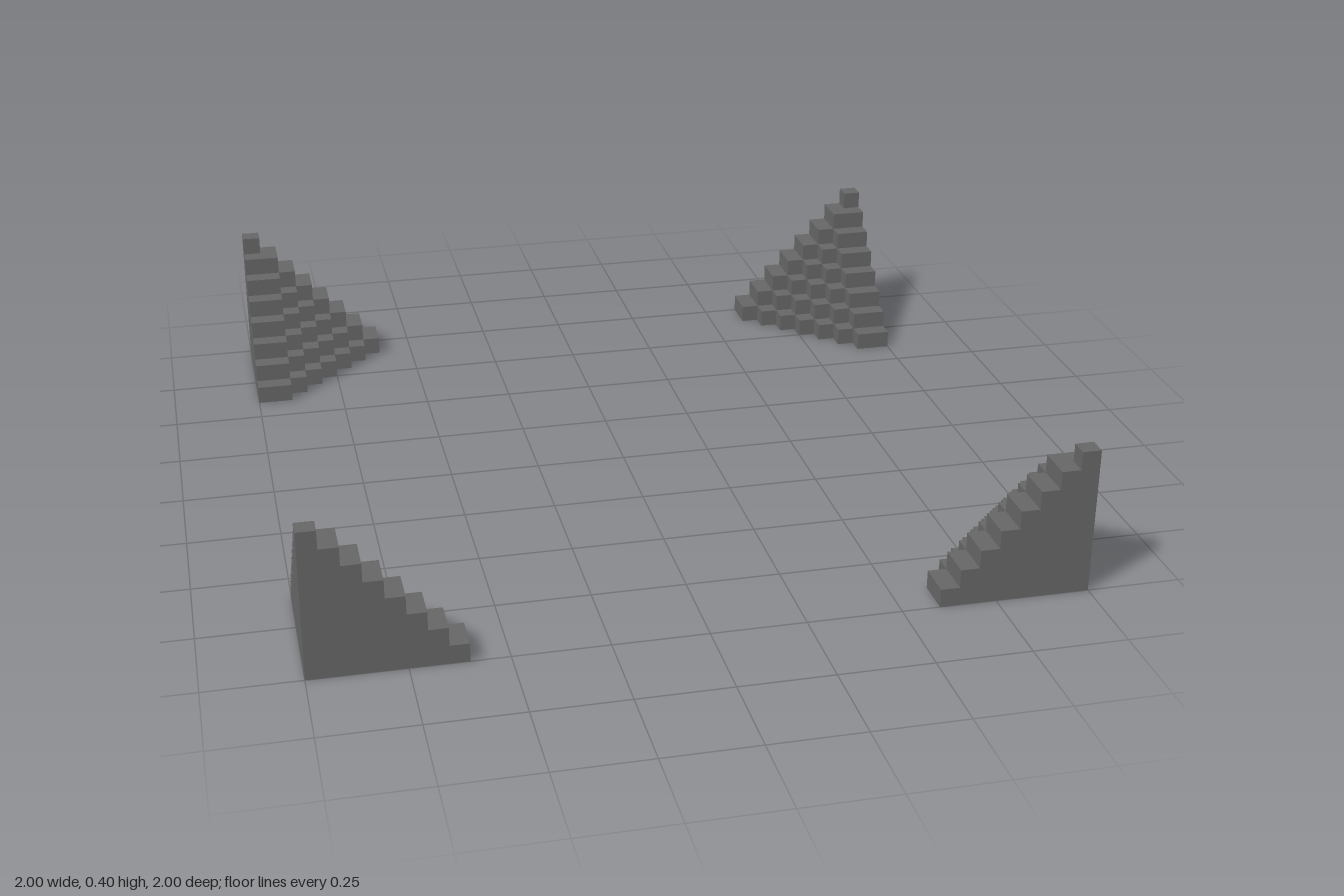
import * as THREE from 'three';

const STEP = 0.05; // edge of one block
const COUNT = 8;   // blocks along each edge of a corner piece

// Staircase outline of one layer, with the outer corner at the origin
function layerShape(n) {
  const s = new THREE.Shape();
  s.moveTo(0, 0);
  s.lineTo(n * STEP, 0);
  if (n > 1) {
    // the first two rows are equally long, then each row is one block shorter
    for (let row = 1; row < n; row++) {
      const width = (n + 1 - row) * STEP;
      if (row > 1) s.lineTo(width, row * STEP);
      s.lineTo(width, (row + 1) * STEP);
    }
  } else {
    s.lineTo(STEP, STEP);
  }
  s.lineTo(0, n * STEP);
  s.closePath();
  return s;
}

// Stack of shrinking layers forming one stepped corner
function cornerPiece(material) {
  const corner = new THREE.Group();
  for (let k = 0; k < COUNT; k++) {
    const geometry = new THREE.ExtrudeGeometry(layerShape(COUNT - k), { depth: STEP, bevelEnabled: false });
    geometry.rotateX(-Math.PI / 2); // outline now runs along +x and -z
    geometry.translate(-1, k * STEP, 1);
    const layer = new THREE.Mesh(geometry, material);
    layer.name = `stepLayer${k + 1}`;
    corner.add(layer);
  }
  return corner;
}

export function createModel() {
  const model = new THREE.Group();
  model.name = 'steppedCorners';
  const stone = new THREE.MeshStandardMaterial({ color: 0x666666, flatShading: true });
  stone.name = 'darkGrey';

  // Four identical corners, turned a quarter each
  ['frontRightCorner', 'backRightCorner', 'backLeftCorner', 'frontLeftCorner'].forEach((name, i) => {
    const corner = cornerPiece(stone);
    corner.name = name;
    corner.rotation.y = -i * Math.PI / 2;
    model.add(corner);
  });
  return model;
}
